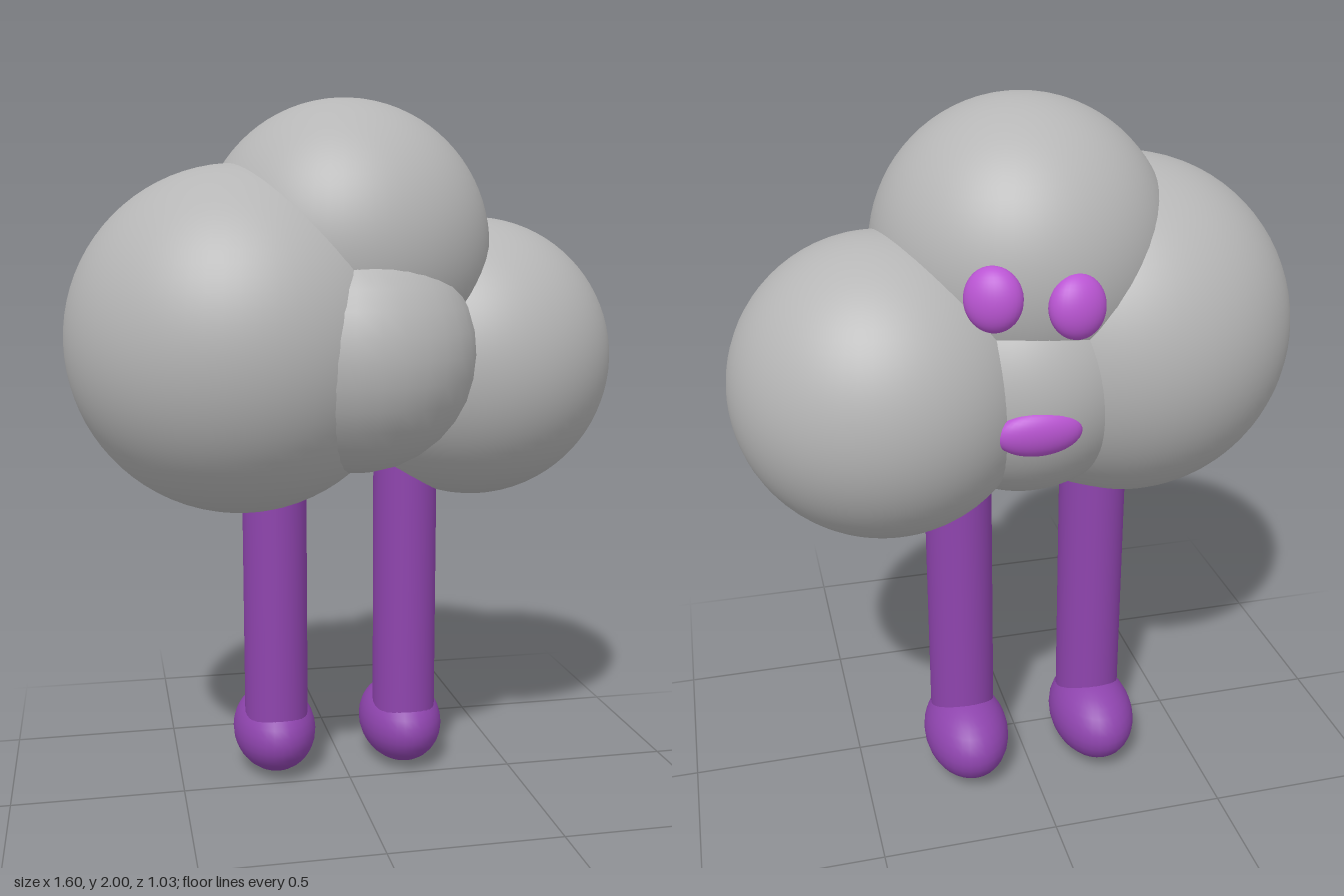
import * as THREE from 'three';

export function createModel() {
  const model = new THREE.Group();
  const material = (name, color) => {
    const m = new THREE.MeshStandardMaterial({ color });
    m.name = name;
    return m;
  };
  const cloudGrey = material('cloud grey', 0xb6b6b6);
  const limbPurple = material('limb purple', 0x8e44ad);
  const facePurple = material('face purple', 0xba55d3);

  const add = (name, geometry, mat, pos, scale = [1, 1, 1], rot = [0, 0, 0]) => {
    const mesh = new THREE.Mesh(geometry, mat);
    mesh.name = name;
    mesh.position.set(...pos);
    mesh.scale.set(...scale);
    mesh.rotation.set(...rot);
    model.add(mesh);
    return mesh;
  };

  // Cloud body: overlapping puffs
  const puffs = [
    ['rightPuff', -0.32, 1.335, 0.032, 0.483],
    ['leftPuff', 0.388, 1.265, -0.105, 0.413],
    ['topPuff', -0.015, 1.59, -0.01, 0.41],
    ['backPuff', 0.01, 1.285, -0.09, 0.353],
  ];
  for (const [name, x, y, z, r] of puffs) {
    add(name, new THREE.SphereGeometry(r, 64, 40), cloudGrey, [x, y, z]);
  }
  const frontPuff = new THREE.SphereGeometry(0.33, 32, 16);
  add('frontPuff', frontPuff, cloudGrey, [-0.015, 1.305, 0.163]);

  // Legs and feet
  const legGeometry = new THREE.CylinderGeometry(0.095, 0.095, 0.95, 32);
  const footGeometry = new THREE.SphereGeometry(1, 32, 16);
  for (const [side, x] of [['right', -0.21], ['left', 0.188]]) {
    add(side + 'Leg', legGeometry, limbPurple, [x, 0.625, -0.095], [1, 1, 1.08]);
    add(side + 'Foot', footGeometry, limbPurple, [x, 0.125, -0.145], [0.125, 0.125, 0.185]);
  }

  // Face on the back of the cloud
  const ball = new THREE.SphereGeometry(1, 32, 20);
  add('rightEye', ball, facePurple, [-0.055, 1.55, -0.42], [0.075, 0.083, 0.05], [0.15, 0.1, 0]);
  add('leftEye', ball, facePurple, [0.15, 1.575, -0.39], [0.075, 0.083, 0.05], [0.15, -0.42, 0]);
  add('mouth', ball, facePurple, [0.04, 1.22, -0.42], [0.115, 0.065, 0.042], [-0.15, 0, 0]);

  return model;
}
